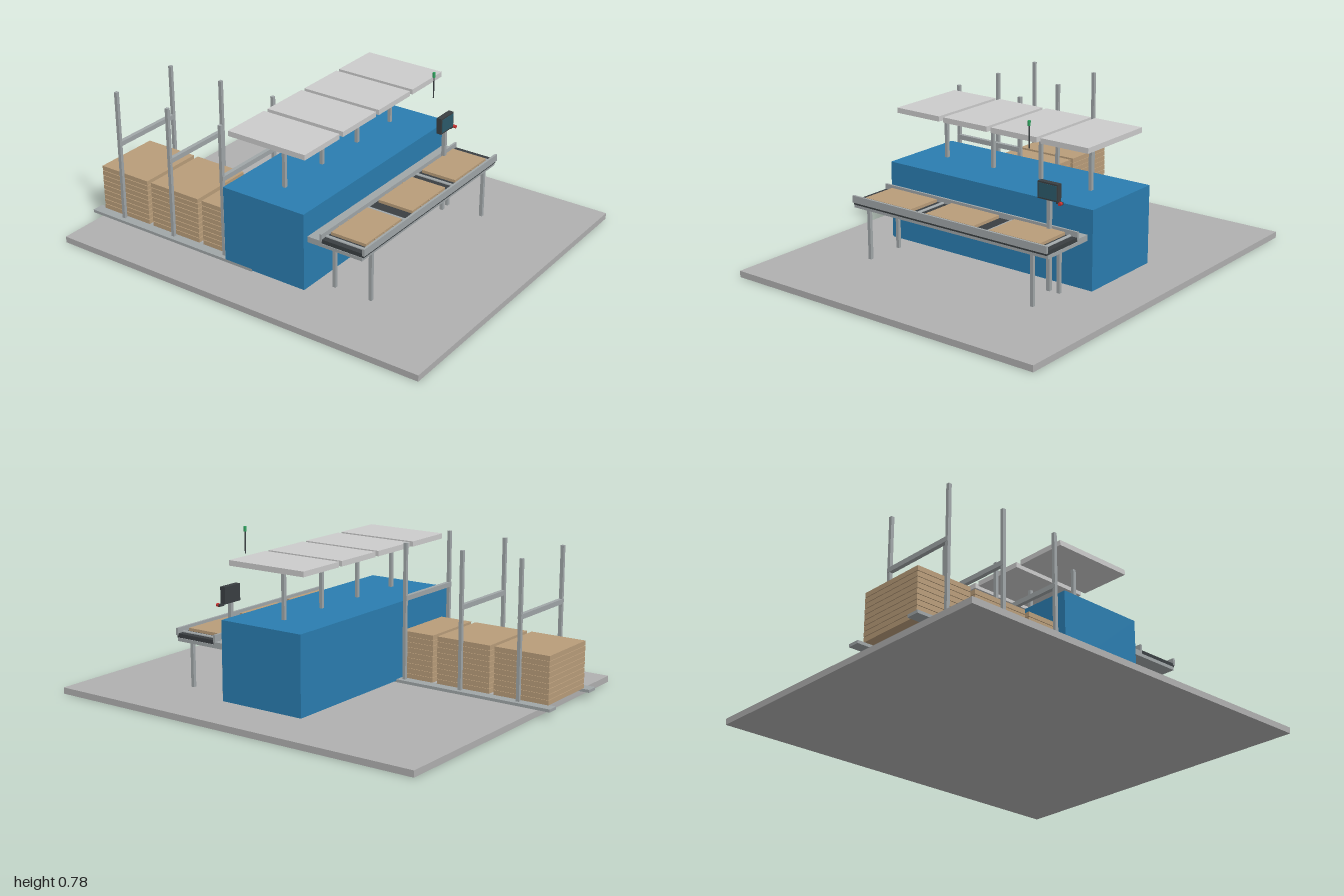
import * as THREE from 'three';

const mat = (color) => new THREE.MeshStandardMaterial({ color });
const floorGrey = mat(0xb0b0b0);
const steel = mat(0xa0a6a8);
const panelGrey = mat(0xd0d2d0);
const blue = mat(0x2a7db0);
const wood = mat(0xb99d7a);
const dark = mat(0x3a3f42);
const screenTeal = mat(0x2b5a6b);
const green = mat(0x2fa35f);
const red = mat(0xc83232);

// Box given by its lower and upper bounds on each axis
function box(parent, name, material, x0, x1, y0, y1, z0, z1) {
  const mesh = new THREE.Mesh(new THREE.BoxGeometry(x1 - x0, y1 - y0, z1 - z0), material);
  mesh.position.set((x0 + x1) / 2, (y0 + y1) / 2, (z0 + z1) / 2);
  mesh.name = name;
  parent.add(mesh);
  return mesh;
}

// Square upright centred on x, z
function post(parent, name, x, z, y0, y1, w = 0.016, material = steel) {
  return box(parent, name, material, x - w / 2, x + w / 2, y0, y1, z - w / 2, z + w / 2);
}

function group(parent, name) {
  const g = new THREE.Group();
  g.name = name;
  parent.add(g);
  return g;
}

function buildCanopy(root) {
  const canopy = group(root, 'canopy');
  for (const x of [-0.42, -0.14, 0.137, 0.413]) {
    post(canopy, 'canopyPost', x, 0.03, 0.41, 0.65);
    box(canopy, 'canopyPanel', panelGrey, x - 0.127, x + 0.127, 0.65, 0.675, -0.178, 0.235);
  }
}

function buildConveyor(root) {
  const conveyor = group(root, 'frontConveyor');
  // bed, belt and edge rails
  box(conveyor, 'conveyorBed', steel, -0.553, 0.553, 0.265, 0.281, 0.25, 0.535);
  box(conveyor, 'transferLedge', steel, -0.553, 0.553, 0.281, 0.293, 0.25, 0.322);
  box(conveyor, 'belt', dark, -0.55, 0.55, 0.281, 0.3, 0.322, 0.541);
  box(conveyor, 'frontRail', steel, -0.553, 0.553, 0.291, 0.325, 0.535, 0.546);
  box(conveyor, 'backRail', steel, -0.553, 0.553, 0.291, 0.325, 0.314, 0.324);
  // cross rollers
  for (const x of [-0.515, -0.2, 0.2, 0.513]) {
    const roller = new THREE.Mesh(new THREE.CylinderGeometry(0.008, 0.008, 0.21, 12), steel);
    roller.name = 'roller';
    roller.rotation.x = Math.PI / 2;
    roller.position.set(x, 0.3, 0.43);
    conveyor.add(roller);
  }
  // flat sheets with small edge tabs
  for (const x of [-0.362, 0, 0.36]) {
    box(conveyor, 'sheet', wood, x - 0.137, x + 0.137, 0.304, 0.318, 0.337, 0.517);
    for (const dx of [-0.07, 0, 0.07])
      box(conveyor, 'sheetTab', wood, x + dx - 0.004, x + dx + 0.004, 0.304, 0.316, 0.331, 0.523);
  }
  // legs
  for (const x of [-0.468, 0.465])
    for (const z of [0.525, 0.335]) post(conveyor, 'conveyorLeg', x, z, 0.03, 0.265);
}

function buildConsole(root) {
  const panel = group(root, 'controlPanel');
  post(panel, 'panelPost', 0.413, 0.338, 0.03, 0.455, 0.018);
  box(panel, 'monitor', dark, 0.36, 0.466, 0.448, 0.527, 0.325, 0.352);
  box(panel, 'screen', screenTeal, 0.366, 0.46, 0.455, 0.52, 0.35, 0.354);
  const button = new THREE.Mesh(new THREE.CylinderGeometry(0.008, 0.008, 0.014, 16), red);
  button.name = 'stopButton';
  button.rotation.x = Math.PI / 2;
  button.position.set(0.481, 0.445, 0.352);
  panel.add(button);
  box(panel, 'buttonArm', dark, 0.455, 0.487, 0.439, 0.451, 0.338, 0.346);
  // signal light
  const pole = new THREE.Mesh(new THREE.CylinderGeometry(0.003, 0.003, 0.1, 10), dark);
  pole.name = 'signalPole';
  pole.position.set(0.303, 0.705, 0.338);
  panel.add(pole);
  const lamp = new THREE.Mesh(new THREE.CylinderGeometry(0.007, 0.007, 0.023, 16), green);
  lamp.name = 'signalLamp';
  lamp.position.set(0.303, 0.768, 0.338);
  panel.add(lamp);
}

function buildInfeed(root) {
  const infeed = group(root, 'rearInfeed');
  // floor rails
  box(infeed, 'floorRail', steel, -0.58, -0.52, 0.03, 0.044, -1, -0.04);
  box(infeed, 'floorRail', steel, -0.205, -0.148, 0.03, 0.044, -1, -0.04);
  for (const z of [-0.826, -0.522, -0.218]) {
    // stack of sheets
    const stack = group(infeed, 'sheetStack');
    for (let i = 0; i < 9; i++) {
      const y = 0.044 + i * 0.0254;
      box(stack, 'stackedSheet', wood, -0.533, -0.198, y, y + 0.022, z - 0.14, z + 0.14);
    }
    // inner core closes the gaps between the sheets
    box(stack, 'stackCore', wood, -0.529, -0.202, 0.044, 0.26, z - 0.136, z + 0.136);
    // portal frame over the stack
    const frame = group(infeed, 'portalFrame');
    for (const x of [-0.55, -0.176]) post(frame, 'portalPost', x, z, 0.03, 0.692);
    box(frame, 'portalBeam', steel, -0.556, -0.17, 0.42, 0.443, z - 0.01, z + 0.01);
  }
}

export function createModel() {
  const root = new THREE.Group();
  root.name = 'sheetProcessingLine';
  box(root, 'floorSlab', floorGrey, -0.83, 0.83, 0, 0.03, -0.94, 1);
  box(root, 'machineBody', blue, -0.58, 0.58, 0.037, 0.41, -0.19, 0.25);
  buildCanopy(root);
  buildConveyor(root);
  buildConsole(root);
  buildInfeed(root);
  return root;
}
